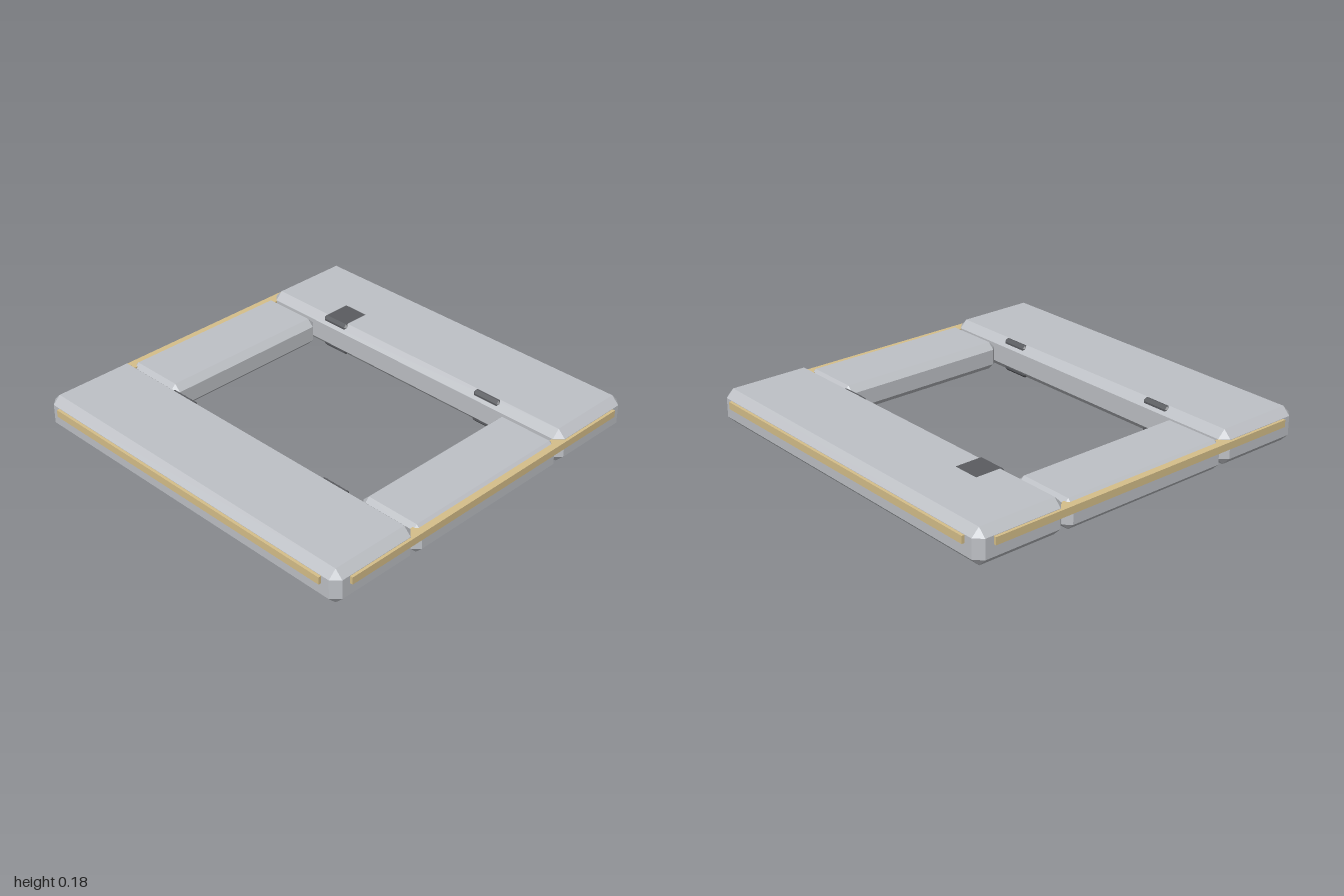
import * as THREE from 'three';
import { ConvexGeometry } from 'three/addons/geometries/ConvexGeometry.js';

// Box with flat 45-degree bevels on every edge, centred on the origin
function chamferBox(w, h, d, c) {
  const points = [];
  for (const sx of [-1, 1]) for (const sy of [-1, 1]) for (const sz of [-1, 1]) {
    const [x, y, z] = [w / 2, h / 2, d / 2];
    points.push(
      new THREE.Vector3(sx * x, sy * (y - c), sz * (z - c)),
      new THREE.Vector3(sx * (x - c), sy * y, sz * (z - c)),
      new THREE.Vector3(sx * (x - c), sy * (y - c), sz * z),
    );
  }
  return new ConvexGeometry(points);
}

export function createModel() {
  const group = new THREE.Group();
  const material = (name, color) => {
    const m = new THREE.MeshStandardMaterial({ color });
    m.name = name;
    return m;
  };
  const grey = material('grey metal', 0xbec1c6);
  const gold = material('gold trim', 0xd6bf8a);
  const dark = material('dark metal', 0x5a5c60);

  const add = (name, geometry, mat, x, y, z) => {
    const mesh = new THREE.Mesh(geometry, mat);
    mesh.name = name;
    mesh.position.set(x, y, z);
    group.add(mesh);
  };

  const sideBeam = chamferBox(0.495, 0.18, 1.97, 0.04);
  const crossBeam = chamferBox(0.98, 0.15, 0.355, 0.034);
  const endStrip = new THREE.BoxGeometry(1.8, 0.038, 0.06);
  const sideStrip = new THREE.BoxGeometry(0.06, 0.038, 1.8);
  const block = chamferBox(0.175, 0.18, 0.17, 0.015);

  for (const s of [-1, 1]) {
    const side = s > 0 ? 'left' : 'right';
    const end = s > 0 ? 'front' : 'back';

    // Frame: two long beams joined by two lower cross beams
    add(side + 'Beam', sideBeam, grey, s * 0.7375, 0.091, 0);
    add(end + 'CrossBeam', crossBeam, grey, 0, 0.077, s * 0.8075);

    // Trim strips around the outside
    add(side + 'Strip', sideStrip, gold, s * 0.97, 0.12, 0);
    add(end + 'Strip', endStrip, gold, 0, 0.12, s * 0.97);

    // Dark blocks in the inner edges; the back left one sits proud on top, the rest below
    for (const z of [-0.517, 0.517]) {
      const y = s > 0 && z < 0 ? 0.092 : 0.09;
      add(side + 'InsetBlock', block, dark, s * 0.592, y, z);
    }
  }
  return group;
}
